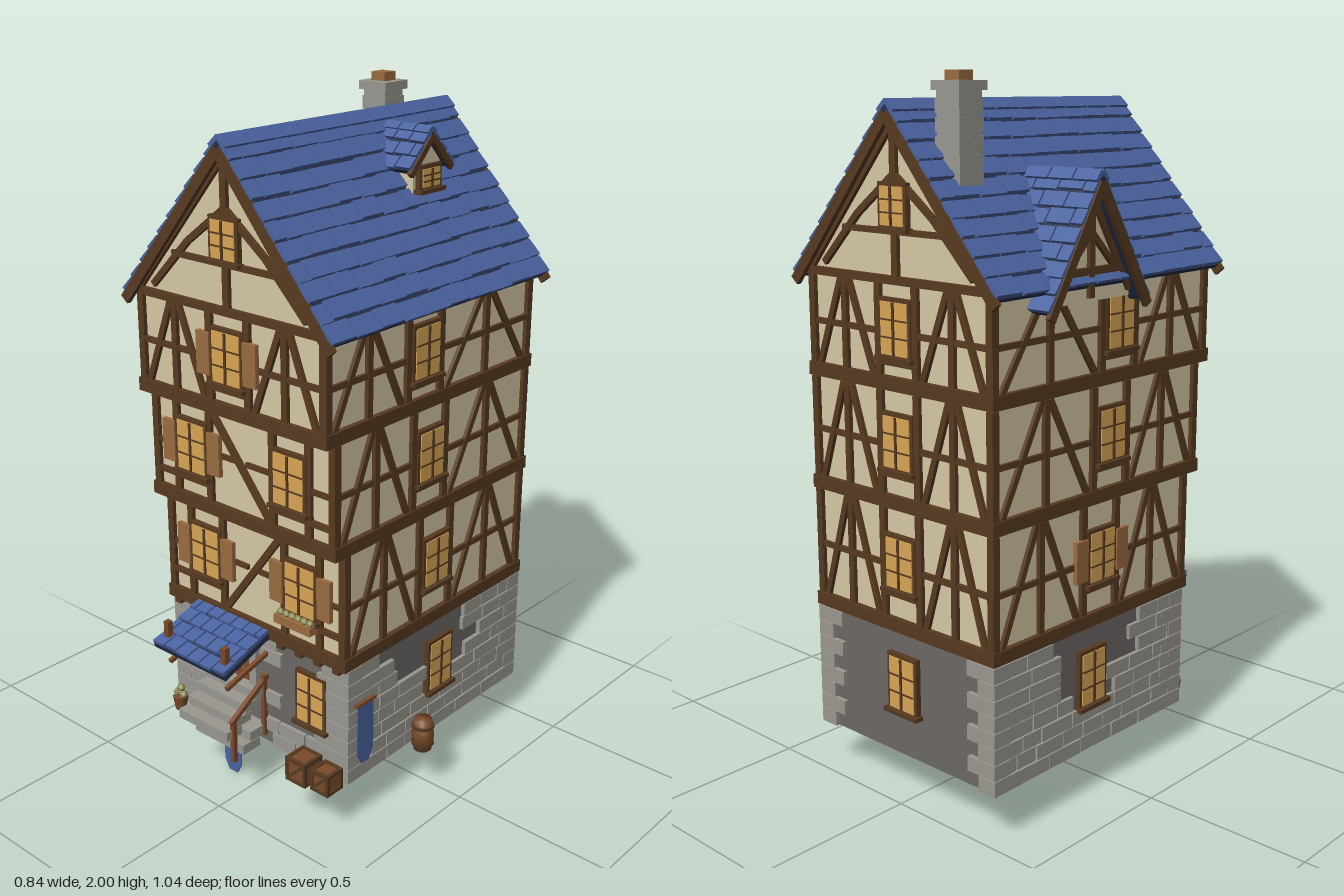
import * as THREE from 'three';
import { mergeGeometries } from 'three/addons/utils/BufferGeometryUtils.js';

const mat = (name, color) => Object.assign(new THREE.MeshStandardMaterial({ color }), { name });
const M = {
  plaster: mat('plaster', 0xd6c9a4), timber: mat('timber', 0x573a20), stone: mat('stone', 0x9a9890),
  dark: mat('dark masonry', 0x6c6865), tile: mat('roof tile', 0x4a63a0), gap: mat('roof underlay', 0x262f4a),
  glow: mat('lit glass', 0xd9a656), shutter: mat('shutter wood', 0x9a6b40), wood: mat('door wood', 0x7a4a2a),
  leaf: mat('leaves', 0x8c8a55),
};

let seed = 7;
const rnd = () => (seed = (seed * 16807) % 2147483647) / 2147483647;

function add(parent, name, geo, material, x = 0, y = 0, z = 0) {
  const m = new THREE.Mesh(geo, material);
  m.name = name;
  m.position.set(x, y, z);
  parent.add(m);
  return m;
}
const box = (p, name, material, w, h, d, x, y, z) => add(p, name, new THREE.BoxGeometry(w, h, d), material, x, y, z);
function group(parent, name, x = 0, y = 0, z = 0, ry = 0) {
  const g = new THREE.Group();
  g.name = name;
  g.position.set(x, y, z);
  g.rotation.y = ry;
  parent.add(g);
  return g;
}
// timber between two points of a wall plane
function beam(p, x1, y1, x2, y2, w = 0.02, d = 0.024, z = 0, material = M.timber) {
  const b = box(p, 'beam', material, Math.hypot(x2 - x1, y2 - y1), w, d, (x1 + x2) / 2, (y1 + y2) / 2, z);
  b.rotation.z = Math.atan2(y2 - y1, x2 - x1);
}
function windowUnit(p, x, y, w, h, shutters = []) {
  const g = group(p, 'window', x, y, 0);
  box(g, 'windowFrame', M.timber, w + 0.02, h + 0.02, 0.032, 0, 0, 0);
  box(g, 'windowGlass', M.glow, w, h, 0.006, 0, 0, 0.016);
  box(g, 'mullion', M.timber, 0.007, h, 0.01, 0, 0, 0.018);
  for (const t of [-1, 1]) box(g, 'glazingBar', M.timber, w, 0.004, 0.008, 0, t * h / 6, 0.018);
  box(g, 'sill', M.timber, w + 0.035, 0.012, 0.045, 0, -h / 2 - 0.01, 0.005);
  for (const s of shutters) box(g, 'shutter', M.shutter, 0.048, h * 0.85, 0.014, s * (w / 2 + 0.036), 0, 0.012);
}

// tiled slope: a to b along the eave, c up the slope from a
function slope(p, a, b, c, rows, cols) {
  const A = new THREE.Vector3(...a), along = new THREE.Vector3(...b).sub(A), up = new THREE.Vector3(...c).sub(A);
  const L = along.length(), H = up.length();
  along.normalize(); up.normalize();
  const g = group(p, 'roofSlope');
  g.applyMatrix4(new THREE.Matrix4().makeBasis(along, up, along.clone().cross(up)).setPosition(A));
  box(g, 'roofDeck', M.gap, L, H, 0.016, L / 2, H / 2, -0.008);
  const rh = H / rows, cw = L / cols, tiles = [];
  for (let r = 0; r < rows; r++) for (let i = 0; i <= cols; i++) {
    const x0 = Math.max(0, (i - (r % 2) * 0.5) * cw), x1 = Math.min(L, (i + 1 - (r % 2) * 0.5) * cw);
    if (x1 - x0 < 0.01) continue;
    tiles.push(new THREE.BoxGeometry(x1 - x0 - 0.005, rh - 0.005, 0.01).rotateX(-0.1)
      .translate((x0 + x1) / 2, (r + 0.5) * rh - rnd() * 0.007, 0.006));
  }
  add(g, 'tiles', mergeGeometries(tiles), M.tile);
}
// gable roof with its ridge along local z
function gableRoof(p, hw, y0, y1, len, rows, cols, ends, board) {
  const h = len / 2;
  slope(p, [hw, y0, h], [hw, y0, -h], [0, y1, h], rows, cols);
  slope(p, [-hw, y0, -h], [-hw, y0, h], [0, y1, -h], rows, cols);
  for (let i = 0; i < cols; i++) for (const s of [-1, 1]) {
    const t = box(p, 'ridgeTile', M.tile, board * 1.3, 0.012, len / cols - 0.005, s * board * 0.45, y1 + 0.008 - board * 0.3, -h + (i + 0.5) * len / cols);
    t.rotation.z = -s * Math.atan2(y1 - y0, hw) * 0.85;
  }
  for (const e of ends) for (const s of [-1, 1])
    beam(p, s * hw, y0 - board * 0.7, 0, y1 - board * 0.7, board, 0.014, e * (h - 0.005));
}
function gableWall(p, hw, y0, knee, apex, depth, zFront) {
  const s = new THREE.Shape([[-hw, y0], [hw, y0], [hw, knee], [0, apex], [-hw, knee]].map(v => new THREE.Vector2(...v)));
  add(p, 'gableWall', new THREE.ExtrudeGeometry(s, { depth, bevelEnabled: false }), M.plaster, 0, 0, zFront - depth);
}

// stone courses that leave the given rectangles [u0, u1, y0, y1] bare
function masonry(p, u0, u1, bare) {
  const rows = 8, h = 0.365 / rows, list = [];
  for (let r = 0; r < rows; r++) {
    const y = 0.14 + (r + 0.5) * h;
    for (let u = u0; u < u1 - 0.02;) {
      const w = Math.min(0.07 + rnd() * 0.07, u1 - u), m = u + w / 2;
      if (!bare.some(b => m > b[0] && m < b[1] && y > b[2] && y < b[3]))
        list.push(new THREE.BoxGeometry(w - 0.004, h - 0.004, 0.018 + rnd() * 0.006).translate(m, y, 0.002));
      u += w;
    }
  }
  add(p, 'stones', mergeGeometries(list), M.stone);
}

// timber framing of a wall around one window
function framedPanel(p, u0, u1, y0, y1, uw, shutters) {
  const yw = (y0 + y1) / 2 + 0.012, a = uw - 0.07, b = uw + 0.07;
  for (const u of [u0, a, b, u1]) beam(p, u, y0, u, y1, 0.022);
  for (const [s, e] of [[u0, a], [b, u1]]) {
    const m = (s + e) / 2, ym = (y0 + y1) / 2;
    beam(p, m, y0, m, y1);
    beam(p, s, ym, e, ym, 0.016, 0.02);
    beam(p, s + 0.02, y0, m - 0.015, y1, 0.018, 0.022);
    beam(p, e - 0.02, y0, m + 0.015, y1, 0.018, 0.022);
  }
  beam(p, a, yw - 0.092, b, yw - 0.092, 0.016);
  windowUnit(p, uw, yw, 0.1, 0.14, shutters);
}

const HW = 0.335, ZB = -0.475;
function walls(p, name, zf) {
  return { front: group(p, name + 'Front', 0, 0, zf), back: group(p, name + 'Back', 0, 0, ZB, Math.PI),
    right: group(p, name + 'RightSide', HW, 0, 0, Math.PI / 2), left: group(p, name + 'LeftSide', -HW, 0, 0, -Math.PI / 2) };
}

function groundFloor(p) {
  const zf = 0.31, w = walls(p, 'ground', zf);
  box(p, 'groundCore', M.dark, HW * 2, 0.38, zf - ZB, 0, 0.33, (zf + ZB) / 2);
  masonry(w.front, -HW, HW, [[0.06, 0.26, 0.25, 0.52], [-0.15, 0, 0.14, 0.47]]);
  masonry(w.right, -zf, -ZB, [[-0.13, 0.24, 0.36, 0.5], [-0.01, 0.19, 0.26, 0.5]]);
  masonry(w.left, ZB, zf, [[-0.24, 0.13, 0.36, 0.5], [-0.19, 0.01, 0.26, 0.5]]);
  for (const [side, u] of [['front', 0.208], ['right', 0.09], ['left', -0.09], ['back', 0]])
    windowUnit(w[side], u, 0.358, 0.095, 0.15);
  // corner stones
  for (const x of [-HW, HW]) for (const z of [ZB, zf]) for (let i = 0; i < 8; i++) {
    const a = i % 2 ? 0.1 : 0.06, b = i % 2 ? 0.06 : 0.1;
    box(p, 'cornerStone', M.stone, a, 0.043, b, x - Math.sign(x) * (a / 2 - 0.014), 0.163 + i * 0.0456, z - Math.sign(z) * (b / 2 - 0.014));
  }
  // door
  for (const x of [-0.155, -0.005]) box(w.front, 'doorPost', M.stone, 0.026, 0.16, 0.04, x, 0.39, 0.01);
  box(w.front, 'door', M.wood, 0.13, 0.14, 0.02, -0.08, 0.39, 0.01);
  for (const x of [-0.11, -0.08, -0.05]) box(w.front, 'doorBatten', M.shutter, 0.005, 0.14, 0.008, x, 0.39, 0.019);
  // joist ends
  for (let i = 0; i < 10; i++) box(w.front, 'joistEnd', M.timber, 0.025, 0.025, 0.05, -0.315 + i * 0.07, 0.505, 0.005);
}

function upperFloors(p) {
  const floors = [[0.52, 0.87, 0.325, 0.058], [0.87, 1.195, 0.365, 0.02], [1.195, 1.48, 0.4, -0.01]];
  floors.forEach(([y0, y1, zf, uw], i) => {
    const w = walls(p, 'storey' + (i + 2), zf), a = y0 + 0.015, b = y1 - 0.015, ym = (a + b) / 2, mid = (zf + ZB) / 2;
    box(p, 'storeyWall', M.plaster, HW * 2, y1 - y0, zf - ZB, 0, (y0 + y1) / 2, mid);
    box(p, 'sillBand', M.timber, HW * 2 + 0.032, 0.038, zf - ZB + 0.032, 0, y0 + 0.007, mid);
    framedPanel(w.right, -zf, -ZB, a, b, uw, []);
    framedPanel(w.left, ZB, zf, a, b, -uw, i === 0 ? [-1, 1] : []);
    framedPanel(w.back, -HW, HW, a, b, 0, []);
    const f = w.front;
    if (i < 2) {
      // two windows with a long brace between them
      for (const u of [-HW, -0.25, -0.12, 0.12, 0.25, HW]) beam(f, u, a, u, b, 0.022);
      beam(f, -0.12, i ? b : a, 0.12, i ? a : b);
      for (const s of [-1, 1]) {
        beam(f, s * HW, ym - 0.09, s * 0.12, ym - 0.09, 0.016);
        beam(f, s * HW, ym + 0.0, s * 0.25, ym + 0.0, 0.014, 0.02);
        beam(f, s * 0.12, ym + 0.01, s * 0.02, ym + 0.01, 0.014, 0.02);
      }
      windowUnit(f, -0.185, ym + 0.01, 0.105, 0.145, [-1, 1]);
      windowUnit(f, 0.185, ym + 0.01, 0.105, 0.145, i ? [] : [-1, 1]);
    } else framedPanel(f, -HW, HW, a, b, 0, [-1, 1]);
  });
  box(p, 'eavesBand', M.timber, HW * 2 + 0.028, 0.022, 0.4 - ZB + 0.028, 0, 1.475, (0.4 + ZB) / 2);
  // window box
  box(p, 'flowerBox', M.shutter, 0.135, 0.025, 0.035, 0.185, 0.612, 0.358);
  for (let i = 0; i < 6; i++) add(p, 'flowers', new THREE.IcosahedronGeometry(0.012, 0), M.leaf, 0.13 + i * 0.022, 0.63, 0.36);
}

function roof(p) {
  const g = group(p, 'mainRoof', 0, 0, -0.04);
  gableRoof(g, 0.377, 1.465, 1.915, 0.94, 10, 10, [-1, 1], 0.03);
  gableWall(p, HW, 1.475, 1.495, 1.89, 0.4 - ZB, 0.4);
  for (const e of walls(p, 'gable', 0.4) && [[0.4, 0], [ZB, Math.PI]]) {
    const f = group(p, 'gableFrame', 0, 0, e[0], e[1]);
    beam(f, 0, 1.48, 0, 1.88, 0.022);
    for (const s of [-1, 1]) {
      beam(f, s * HW, 1.49, 0, 1.88, 0.024);
      beam(f, s * 0.28, 1.5, s * 0.14, 1.64, 0.018);
      beam(f, s * 0.14, 1.64, 0, 1.745, 0.018);
    }
    beam(f, -0.2, 1.6, 0.2, 1.6, 0.016, 0.022);
    windowUnit(f, 0, 1.665, 0.085, 0.1);
  }
  // large dormer on the right-hand side of a person facing the house back
  const d = group(p, 'largeDormer', -0.285, 0, -0.145, -Math.PI / 2);
  gableRoof(d, 0.195, 1.415, 1.742, 0.25, 8, 3, [1], 0.026);
  gableWall(d, 0.165, 1.42, 1.45, 1.71, 0.14, 0.08);
  const df = group(d, 'dormerFrame', 0, 0, 0.08);
  beam(df, 0, 1.43, 0, 1.7);
  beam(df, -0.12, 1.5, 0.12, 1.5);
  for (const s of [-1, 1]) { beam(df, s * 0.16, 1.44, 0, 1.7, 0.022); beam(df, s * 0.1, 1.5, 0, 1.6, 0.016); }
  // small dormer
  const k = group(p, 'smallDormer', 0.115, 0, -0.193, Math.PI / 2);
  gableRoof(k, 0.09, 1.79, 1.885, 0.16, 3, 3, [1], 0.018);
  gableWall(k, 0.058, 1.69, 1.8, 1.87, 0.12, 0.06);
  const kw = group(k, 'dormerWindow', 0, 0, 0.06);
  windowUnit(kw, 0, 1.762, 0.075, 0.05);
  // chimney
  const c = group(p, 'chimney', -0.135, 0, -0.38);
  box(c, 'chimneyShaft', M.stone, 0.08, 0.36, 0.08, 0, 1.78, 0);
  for (let i = 0; i < 5; i++) box(c, 'chimneyCourse', M.stone, 0.086, 0.036, 0.086, 0, 1.73 + i * 0.046, 0);
  box(c, 'chimneyCap', M.stone, 0.1, 0.025, 0.1, 0, 1.963, 0);
  box(c, 'chimneyPot', M.shutter, 0.05, 0.03, 0.05, 0, 1.985, 0);
}

function porch(p) {
  const g = group(p, 'porch');
  slope(g, [-0.225, 0.465, 0.52], [0.065, 0.465, 0.52], [-0.225, 0.535, 0.32], 4, 6);
  for (const x of [-0.195, 0.037]) {
    box(g, 'porchPost', M.wood, 0.018, 0.085, 0.018, x, 0.492, 0.488);
    box(g, 'porchStrut', M.wood, 0.012, 0.012, 0.18, x, 0.425, 0.4).rotation.x = 0.27;
  }
  // steps
  for (let i = 0; i < 4; i++) box(g, 'step', M.stone, 0.2, 0.028, 0.06, -0.075, 0.318 - i * 0.029, 0.335 + i * 0.038);
  for (let i = 0; i < 2; i++) box(g, 'lowerStep', M.stone, 0.2, 0.03, 0.07, -0.075, 0.188 - i * 0.032, 0.35 + i * 0.03);
  // handrail
  box(g, 'railPost', M.wood, 0.014, 0.13, 0.014, 0.025, 0.205, 0.452);
  box(g, 'railPost', M.wood, 0.014, 0.2, 0.014, 0.025, 0.27, 0.325);
  box(g, 'handrail', M.wood, 0.014, 0.014, 0.18, 0.025, 0.317, 0.385).rotation.x = 0.56;
  // lantern
  box(g, 'lantern', M.glow, 0.02, 0.03, 0.02, -0.225, 0.42, 0.352);
  box(g, 'lanternCap', M.timber, 0.028, 0.008, 0.05, -0.225, 0.44, 0.34);
}

function banner(p, x, y, z, ry, w, h) {
  const g = group(p, 'banner', x, y, z, ry);
  const s = new THREE.Shape([[-w, 0], [-w, -h + w], [-w / 2, -h], [w / 2, -h], [w, -h + w], [w, 0]].map(v => new THREE.Vector2(...v)));
  add(g, 'bannerCloth', new THREE.ExtrudeGeometry(s, { depth: 0.004, bevelEnabled: false }), M.tile);
  box(g, 'bannerPole', M.wood, w * 2.4, 0.01, 0.012, 0, 0.003, 0.002);
}

function props(p) {
  banner(p, 0.36, 0.39, 0.267, Math.PI / 2, 0.034, 0.19);
  banner(p, -0.09, 0.228, 0.343, 0, 0.034, 0.228);
  // barrel
  const b = group(p, 'barrel', 0.39, 0.14, 0.037);
  add(b, 'barrelBody', new THREE.LatheGeometry([[0, 0], [0.027, 0], [0.034, 0.05], [0.027, 0.1], [0, 0.1]].map(v => new THREE.Vector2(...v)), 12), M.wood);
  for (const y of [0.022, 0.078]) add(b, 'hoop', new THREE.CylinderGeometry(0.0335, 0.0335, 0.01, 12), M.timber, 0, y, 0);
  // crates
  for (const [x, z, s] of [[0.232, 0.38, 0.075], [0.313, 0.375, 0.066]]) {
    const c = group(p, 'crate', x, 0.14 + s / 2, z);
    box(c, 'crateBody', M.wood, s - 0.008, s - 0.008, s - 0.008, 0, 0, 0);
    for (const i of [-1, 1]) for (const j of [-1, 1]) {
      const o = (s - 0.01) / 2;
      box(c, 'crateEdge', M.timber, s, 0.01, 0.01, 0, i * o, j * o);
      box(c, 'crateEdge', M.timber, 0.01, s, 0.01, i * o, 0, j * o);
      box(c, 'crateEdge', M.timber, 0.01, 0.01, s, i * o, j * o, 0);
    }
    beam(c, -s / 2 + 0.01, -s / 2 + 0.01, s / 2 - 0.01, s / 2 - 0.01, 0.009, 0.006, s / 2 - 0.003);
  }
  // potted plant
  add(p, 'plantPot', new THREE.CylinderGeometry(0.024, 0.017, 0.045, 8), M.wood, -0.3, 0.162, 0.36);
  for (const [x, y] of [[0, 0.2], [-0.012, 0.192], [0.013, 0.193], [0.003, 0.213]])
    add(p, 'plant', new THREE.IcosahedronGeometry(0.014, 0), M.leaf, -0.3 + x, y, 0.36);
}

export function createModel() {
  seed = 7;
  const root = new THREE.Group();
  root.name = 'timberFramedHouse';
  const house = group(root, 'house', -0.005);
  for (const part of [groundFloor, upperFloors, roof, porch, props]) part(house);
  return root;
}
